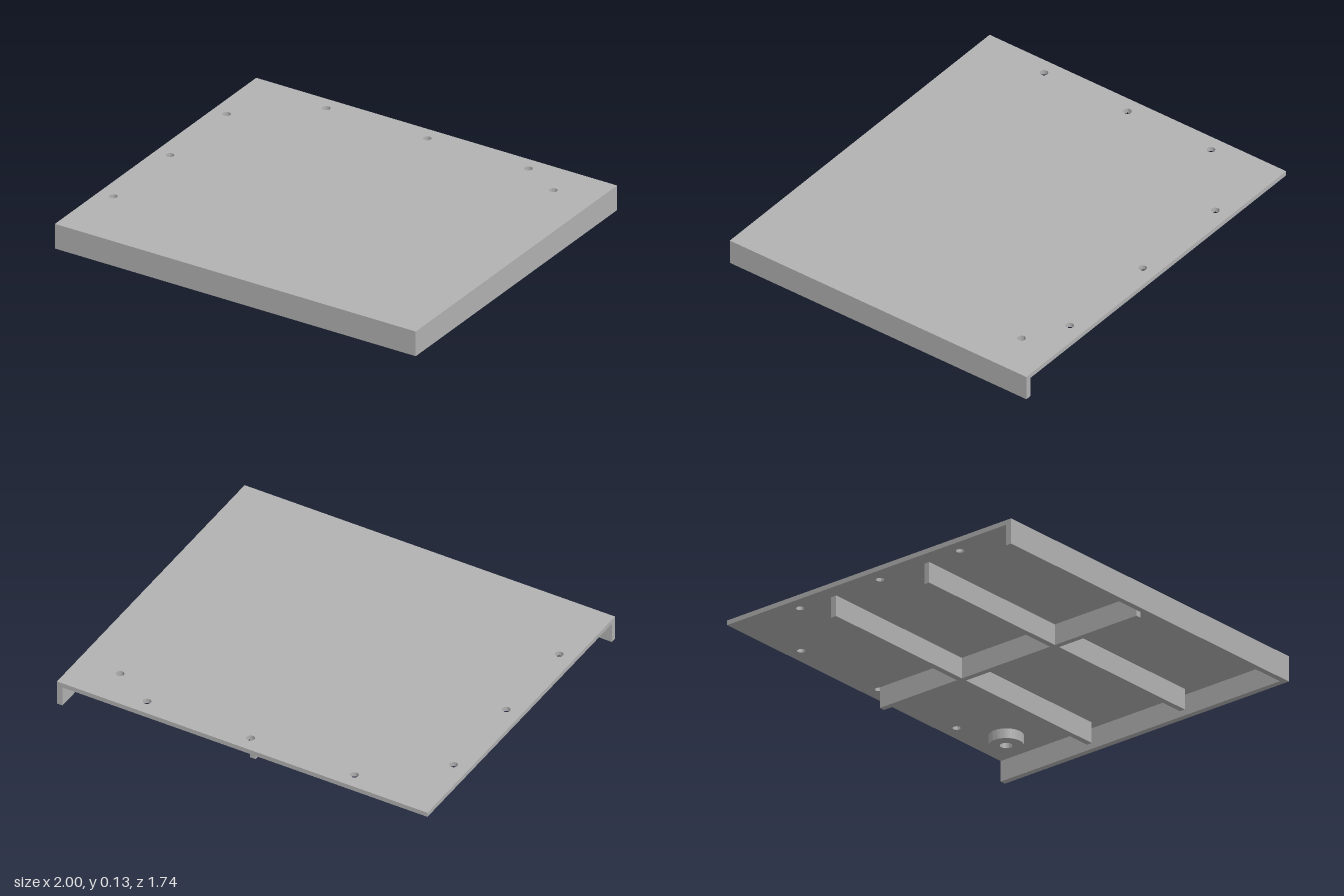
import * as THREE from 'three';
import { toCreasedNormals } from 'three/addons/utils/BufferGeometryUtils.js';

const TOP = 0.13, PLATE = 0.024, HX = 1, HZ = 0.87, WALL = 0.03, HOLE = 0.02;
const UNDER = TOP - PLATE;

export function createModel() {
  const group = new THREE.Group();
  const grey = new THREE.MeshStandardMaterial({ color: 0xb2b2b2 });
  grey.name = 'plain grey';

  const add = (name, geometry, x = 0, y = 0, z = 0) => {
    const mesh = new THREE.Mesh(geometry, grey);
    mesh.name = name;
    mesh.position.set(x, y, z);
    group.add(mesh);
  };
  // Box given by its limits in x and z, hanging from the plate to the ground
  const wall = (name, x0, x1, z0, z1) =>
    add(name, new THREE.BoxGeometry(x1 - x0, UNDER, z1 - z0), (x0 + x1) / 2, UNDER / 2, (z0 + z1) / 2);
  const circle = (x, y, r) => new THREE.Path().absarc(x, y, r, 0, Math.PI * 2, true);
  // Extrudes a shape drawn in x and z downwards from y = 0
  const slab = (shape, depth) => {
    const g = new THREE.ExtrudeGeometry(shape, { depth, bevelEnabled: false, curveSegments: 32 });
    return toCreasedNormals(g.rotateX(Math.PI / 2), 0.6);
  };

  // Top plate with screw holes
  const outline = new THREE.Shape([
    new THREE.Vector2(-HX, -HZ), new THREE.Vector2(HX, -HZ),
    new THREE.Vector2(HX, HZ), new THREE.Vector2(-HX, HZ),
  ]);
  const bossX = 0.775, bossZ = -0.67;
  for (const s of [-1, 0, 1]) {
    outline.holes.push(circle(s * 0.56, -0.79, HOLE), circle(-0.92, s * 0.49, HOLE));
  }
  outline.holes.push(circle(bossX, bossZ, HOLE));
  add('topPlate', slab(outline, PLATE), 0, TOP, 0);

  // Skirts on two adjoining edges
  wall('frontSkirt', -HX, HX, HZ - WALL, HZ);
  wall('leftSkirt', HX - WALL, HX, -HZ, HZ - WALL);

  // Stiffening ribs under the plate; the long one stops short of a screw hole
  const h = WALL / 2;
  for (const z of [-0.285, 0.285]) wall('crossRib', -0.92, 0.92, z - h, z + h);
  wall('centreRib', -h, h, -0.772, 0.8);

  // Round boss around the corner hole
  const ring = new THREE.Shape().absarc(0, 0, 0.083, 0, Math.PI * 2, false);
  ring.holes.push(circle(0, 0, 0.03));
  add('cornerBoss', slab(ring, 0.05), bossX, UNDER, bossZ);

  return group;
}
